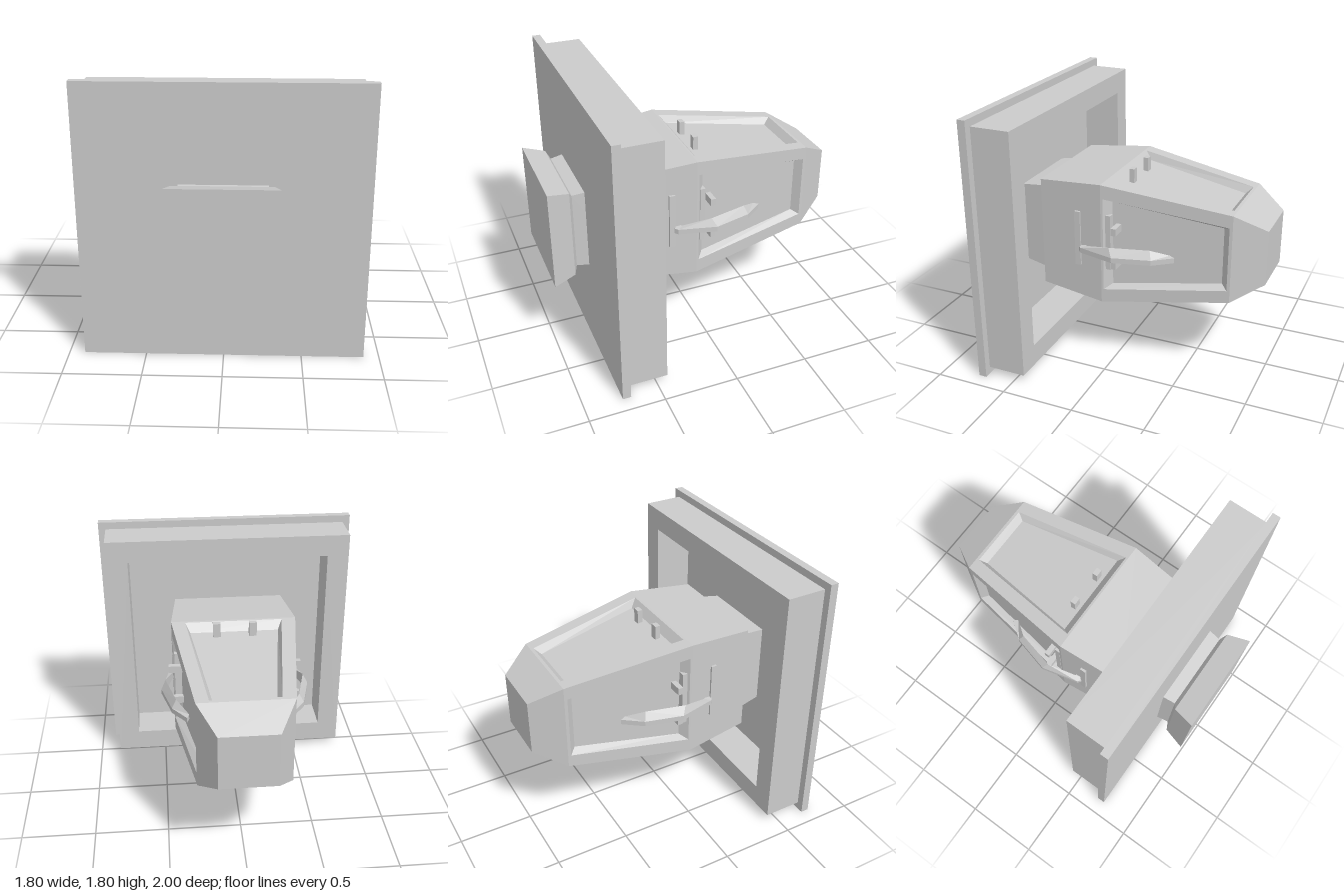
import * as THREE from 'three';

const CY = 0.9; // height of the central axis
const mat = new THREE.MeshStandardMaterial({ color: 0xcccccc, flatShading: true });
const thinMat = new THREE.MeshStandardMaterial({ color: 0xcccccc, flatShading: true, side: THREE.DoubleSide });

function mesh(name, geometry, material = mat) {
  const m = new THREE.Mesh(geometry, material);
  m.name = name;
  return m;
}

function box(name, w, h, d, x, y, z) {
  const m = mesh(name, new THREE.BoxGeometry(w, h, d));
  m.position.set(x, y, z);
  return m;
}

// Geometry from four-cornered faces, corners counter-clockwise from outside
function fromQuads(quads) {
  const p = [];
  for (const [a, b, c, d] of quads) p.push(...a, ...b, ...c, ...a, ...c, ...d);
  const g = new THREE.BufferGeometry();
  g.setAttribute('position', new THREE.Float32BufferAttribute(p, 3));
  g.computeVertexNormals();
  return g;
}

// Quarter turns about z give the four sides of a square shape
function turn([x, y, z], k) {
  for (let i = 0; i < k; i++) [x, y] = [-y, x];
  return [x, y, z];
}
const allSides = (quads) => [0, 1, 2, 3].flatMap((k) => quads.map((q) => q.map((v) => turn(v, k))));

// Upper face between two square sections [z, half size], front one first
const slope = ([za, a], [zb, b]) => [[-a, a, za], [a, a, za], [b, b, zb], [-b, b, zb]];
const cap = ([z, h], front) => {
  const q = [[-h, -h, z], [h, -h, z], [h, h, z], [-h, h, z]];
  return front ? q : q.reverse();
};

// Closed square solid through several sections
function squareLoft(s) {
  const sides = s.slice(1).map((b, i) => slope(s[i], b));
  return fromQuads([...allSides(sides), cap(s[0], true), cap(s[s.length - 1], false)]);
}

// Tapered hull with a bevelled recess in each of its four long faces
function hullGeometry() {
  const rear = [0.5, 0.38], wide = [0.05, 0.42], narrow = [-0.8, 0.303], tip = [-1, 0.187];
  const height = (z) => 0.42 + (z - 0.05) * (0.117 / 0.85);
  const ring = (x1, z1, x2, z2, drop) => [[-x1, z1], [x1, z1], [x2, z2], [-x2, z2]]
    .map(([x, z]) => [x, height(z) - drop, z]);
  const outer = slope(wide, narrow);
  const opening = ring(0.325, 0.035, 0.22, -0.78, 0);
  const floor = ring(0.295, -0.01, 0.195, -0.735, 0.05);
  const band = (a, b) => a.map((v, i) => [v, a[(i + 1) % 4], b[(i + 1) % 4], b[i]]);
  const side = [slope(rear, wide), slope(narrow, tip), ...band(outer, opening), ...band(opening, floor), floor];
  return fromQuads([...allSides(side), cap(rear, true), cap(tip, false)]);
}

// Arched side handle: rings of outer x, outer z, inner x, inner z, ridge height
function handleGeometry(s) {
  const rings = [
    [0.40, 0.225, 0.38, 0.20, 0.87],
    [0.445, 0.19, 0.42, 0.15, 0.875],
    [0.505, -0.06, 0.475, -0.03, 0.92],
    [0.44, -0.31, 0.41, -0.29, 0.92],
    [0.345, -0.435, 0.33, -0.40, 0.87],
  ].map(([ox, oz, ix, iz, y]) => [
    [s * ox, 0.83, oz], [s * ox, 0.865, oz], [s * ix, y, iz], [s * ix, 0.835, iz],
  ]);
  const quads = [rings[0], rings[4]];
  for (let i = 0; i < 4; i++) {
    for (let j = 0; j < 4; j++) {
      const k = (j + 1) % 4;
      quads.push([rings[i][j], rings[i][k], rings[i + 1][k], rings[i + 1][j]]);
    }
  }
  return fromQuads(quads);
}

// Deep square frame, open towards the back
function frameGeometry() {
  const square = (T, h) => new T([[-h, -h], [h, -h], [h, h], [-h, h]].map(([x, y]) => new THREE.Vector2(x, y)));
  const shape = square(THREE.Shape, 0.85);
  shape.holes.push(square(THREE.Path, 0.7));
  return new THREE.ExtrudeGeometry(shape, { depth: 0.27, bevelEnabled: false });
}

export function createModel() {
  const model = new THREE.Group();

  // Wall plate and frame
  model.add(box('plate', 1.8, 1.8, 0.055, 0, CY, 0.7225));
  const frame = mesh('frame', frameGeometry());
  frame.position.set(0, CY, 0.43);
  model.add(frame);

  // Front knob, the shaft through the plate, and the hull behind it
  const knob = mesh('knob', squareLoft([[1, 0.34], [0.855, 0.305], [0.83, 0.262]]));
  const shaft = mesh('shaft', squareLoft([[0.835, 0.262], [0.48, 0.31]]));
  const hull = mesh('hull', hullGeometry());
  for (const part of [knob, shaft, hull]) {
    part.position.y = CY;
    model.add(part);
  }

  // Pairs of small clips standing in every recess
  const clips = new THREE.Group();
  clips.name = 'clips';
  clips.position.y = CY;
  for (let k = 0; k < 4; k++) {
    for (const u of [-0.12, 0.12]) {
      const [x, y, z] = turn([u, 0.4, -0.052], k);
      const flat = k % 2 === 0;
      clips.add(box('clip', flat ? 0.05 : 0.1, flat ? 0.1 : 0.05, 0.035, x, y, z));
    }
  }
  model.add(clips);

  // Handles and upright bars on both sides
  for (const s of [1, -1]) {
    const side = new THREE.Group();
    side.name = s > 0 ? 'leftFittings' : 'rightFittings';
    side.add(mesh('handle', handleGeometry(s), thinMat));
    side.add(box('outerBar', 0.04, 0.385, 0.04, s * 0.4, 0.917, 0.22));
    side.add(box('recessBar', 0.055, 0.385, 0.035, s * 0.38, 0.917, 0.005));
    model.add(side);
  }
  return model;
}
